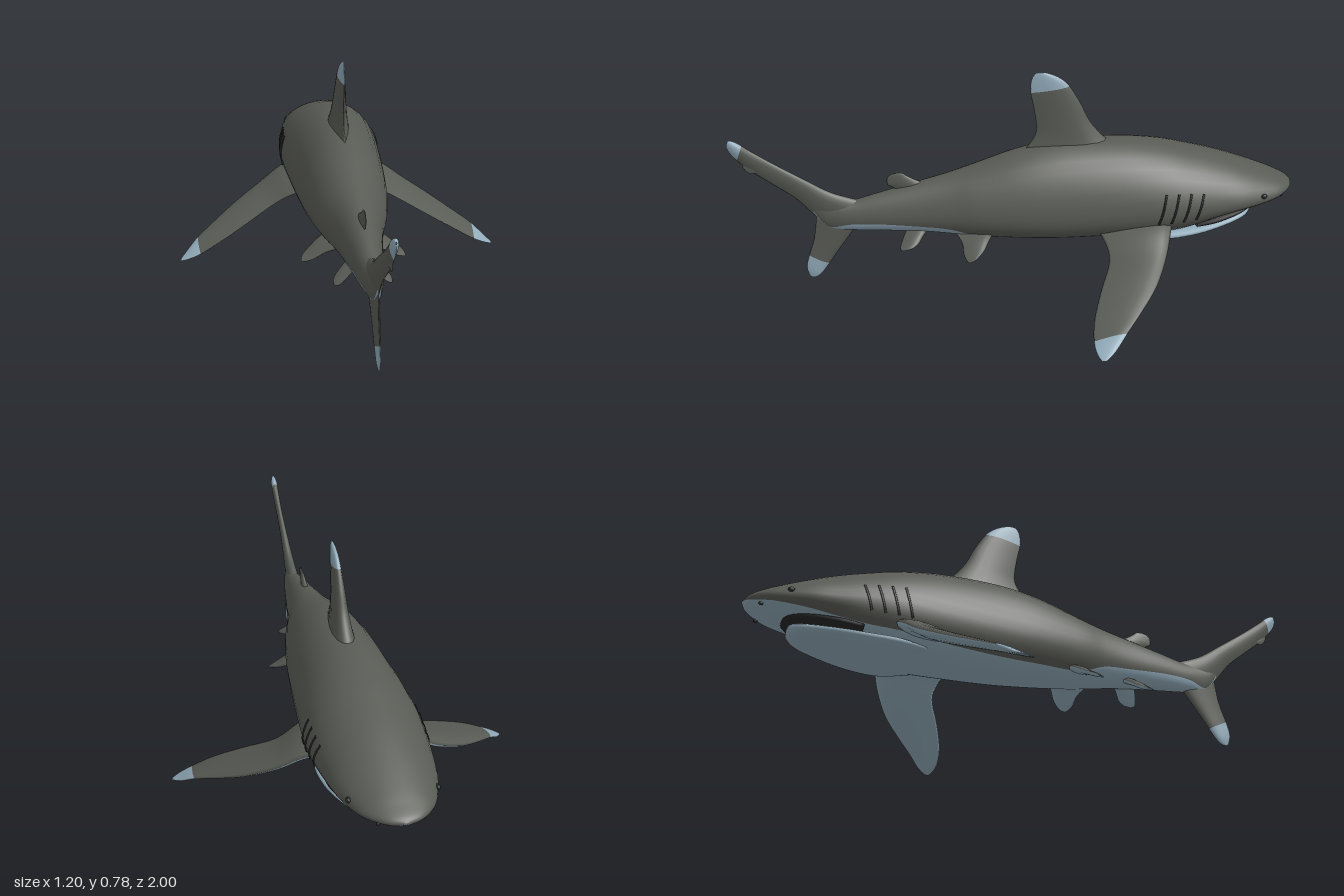
import * as THREE from 'three';

const material = (name, color) => {
  const m = new THREE.MeshStandardMaterial({ color, side: THREE.DoubleSide });
  m.name = name;
  return m;
};

// Catmull-Rom through rows of numbers, column by column
function smoothRows(rows, sub) {
  const out = [];
  const at = i => rows[Math.max(0, Math.min(rows.length - 1, i))];
  for (let i = 0; i < rows.length - 1; i++) {
    for (let k = 0; k < sub; k++) {
      const t = k / sub, a = at(i - 1), b = at(i), c = at(i + 1), d = at(i + 2);
      out.push(b.map((_, n) => 0.5 * (2 * b[n] + (c[n] - a[n]) * t
        + (2 * a[n] - 5 * b[n] + 4 * c[n] - d[n]) * t * t
        + (3 * b[n] - a[n] - 3 * c[n] + d[n]) * t * t * t)));
    }
  }
  out.push(rows[rows.length - 1]);
  return out;
}

// Skin closed rings of points; pick(i, j) gives the material index of each cell
function loft(name, rings, materials, pick = () => 0) {
  const m = rings[0].length, pts = rings.flat();
  const buckets = materials.map(() => []);
  const centre = new THREE.Vector3();
  rings[0].forEach(p => centre.addScaledVector(p, 1 / m));
  let volume = 0;
  const rel = k => pts[k].clone().sub(centre);
  for (let i = 0; i < rings.length - 1; i++) {
    for (let j = 0; j < m; j++) {
      const a = i * m + j, b = i * m + (j + 1) % m, c = a + m, d = b + m;
      buckets[pick(i, j)].push([a, b, c], [b, d, c]);
      volume += rel(a).dot(rel(b).cross(rel(c))) + rel(b).dot(rel(d).cross(rel(c)));
    }
  }
  const geo = new THREE.BufferGeometry().setFromPoints(pts);
  const index = [];
  buckets.forEach((tris, k) => {
    geo.addGroup(index.length, tris.length * 3, k);
    tris.forEach(([a, b, c]) => (volume < 0 ? index.push(a, c, b) : index.push(a, b, c)));
  });
  geo.setIndex(index);
  geo.computeVertexNormals();
  const mesh = new THREE.Mesh(geo, materials);
  mesh.name = name;
  return mesh;
}

// Fin rows: leading x,y,z, trailing x,y,z, half thickness.
// The tip starts at row tipRow; the far side of the fin can be pale.
function fin(name, rows, mats, { normal = [1, 0, 0], tipRow = 99, paleUnder = false, mirror = 1 } = {}) {
  const N = 9, SUB = 5, dir = new THREE.Vector3(...normal).normalize();
  const rings = smoothRows(rows, SUB).map(([ax, ay, az, bx, by, bz, th]) => {
    const lead = new THREE.Vector3(ax, ay, az), trail = new THREE.Vector3(bx, by, bz);
    return Array.from({ length: 2 * N }, (_, j) => {
      const u = (j <= N ? j : 2 * N - j) / N, f = u * u * (3 - 2 * u);
      const h = 2.6 * th * Math.sqrt(f) * (1 - f) * (j <= N ? 1 : -1);
      const p = lead.clone().lerp(trail, f).addScaledVector(dir, h);
      p.x *= mirror;
      return p;
    });
  });
  return loft(name, rings, mats, (i, j) => (i >= tipRow * SUB || (paleUnder && j >= N) ? 1 : 0));
}

// Upright fin on the centre line, rows of leading z,y, trailing z,y, half thickness
const uprightFin = (name, rows, mats, tipRow) =>
  fin(name, rows.map(([az, ay, bz, by, th]) => [0, ay, az, 0, by, bz, th]), mats, { tipRow });

// Body rows: z, top, bottom, half width, widest height, colour line height
const BODY = [
  [-1, .332, .328, .002, .33, .33], [-.985, .345, .315, .05, .33, .322],
  [-.95, .362, .3, .092, .328, .312], [-.9, .385, .285, .124, .322, .302],
  [-.8, .425, .265, .159, .318, .285], [-.7, .46, .238, .176, .315, .265],
  [-.6, .488, .2, .187, .315, .245], [-.5, .512, .182, .192, .31, .235],
  [-.35, .53, .175, .183, .305, .22], [-.15, .528, .172, .166, .3, .21],
  [0, .503, .178, .15, .3, .21], [.15, .455, .188, .123, .3, .215],
  [.25, .425, .2, .096, .295, .245], [.35, .4, .212, .075, .29, .255],
  [.5, .362, .222, .052, .285, .265], [.6, .338, .228, .036, .28, .262],
  [.68, .34, .24, .018, .29, .25], [.74, .36, .32, .003, .34, .33],
];
const UP = 1.15, DOWN = .9;

function bodyPoint([z, top, bottom, w, mid], t) {
  const s = Math.sin(t);
  const y = s >= 0 ? mid + (top - mid) * s ** UP : mid - (mid - bottom) * (-s) ** DOWN;
  return new THREE.Vector3(w * Math.cos(t), y, z);
}

export function createModel() {
  const model = new THREE.Group();
  model.name = 'shark';
  const grey = material('dark grey skin', 0x595b55);
  const pale = material('pale blue grey skin', 0x91aab9);
  const black = material('dark openings', 0x242624);
  const skin = [grey, pale];

  // Body, with grey back and pale belly meeting on a smooth line
  const rows = smoothRows(BODY, 6), A = 24, B = 16;
  const rings = rows.map(r => {
    const drop = THREE.MathUtils.clamp((r[4] - r[5]) / (r[4] - r[2]), 0, .97);
    const t0 = -Math.asin(drop ** (1 / DOWN)), t1 = Math.PI - t0;
    return Array.from({ length: A + B }, (_, j) => bodyPoint(r, j <= A
      ? t0 + (t1 - t0) * j / A
      : t1 + (t0 + 2 * Math.PI - t1) * (j - A) / B));
  });
  model.add(loft('body', rings, skin, (i, j) => (j < A ? 0 : 1)));

  // Lower jaw and the dark mouth behind it: z, top, bottom, half width
  const oval = (name, list, mat) => model.add(loft(name, smoothRows(list, 4).map(([z, top, bottom, w]) =>
    Array.from({ length: 24 }, (_, j) => {
      const t = j / 24 * 2 * Math.PI;
      return new THREE.Vector3(w * Math.cos(t), (top + bottom) / 2 + (top - bottom) / 2 * Math.sin(t), z);
    })), [mat]));
  oval('lowerJaw', [[-.85, .25, .246, .004], [-.842, .262, .232, .05], [-.8, .258, .214, .095],
    [-.7, .245, .197, .137], [-.6, .235, .183, .158], [-.5, .23, .178, .16], [-.4, .22, .19, .12]], pale);
  oval('mouth', [[-.87, .286, .284, .004], [-.86, .29, .272, .05], [-.8, .285, .25, .112],
    [-.7, .275, .228, .15], [-.62, .26, .22, .155]], black);

  // Tall rounded dorsal fin and the small second one
  model.add(uprightFin('dorsalFin', [
    [-.36, .49, .0, .48, .045], [-.3, .54, -.03, .515, .034], [-.25, .6, -.06, .57, .026],
    [-.215, .67, -.053, .65, .019], [-.175, .735, -.04, .715, .014], [-.14, .767, -.042, .76, .01],
    [-.1, .785, -.055, .785, .005], [-.075, .789, -.07, .789, .001]], skin, 4));
  model.add(uprightFin('secondDorsalFin', [
    [.31, .385, .42, .365, .014], [.36, .405, .45, .385, .01], [.395, .425, .465, .395, .007],
    [.41, .436, .465, .42, .004], [.43, .438, .45, .434, .001]], skin));

  // Tail lobes
  model.add(uprightFin('upperTailLobe', [
    [.55, .335, .65, .225, .022], [.66, .375, .72, .285, .019], [.75, .432, .785, .36, .014],
    [.85, .498, .872, .43, .011], [.92, .548, .94, .485, .012], [.965, .582, .985, .535, .012],
    [.99, .592, 1, .565, .006], [.997, .585, 1, .575, .001]], skin, 4.6));
  model.add(uprightFin('tailNotchFlap', [
    [.88, .49, .95, .52, .005], [.905, .468, .955, .495, .004], [.93, .463, .945, .475, .001]], skin));
  model.add(uprightFin('lowerTailLobe', [
    [.57, .26, .72, .33, .02], [.595, .22, .722, .27, .016], [.65, .145, .735, .195, .012],
    [.685, .095, .757, .13, .01], [.715, .055, .768, .085, .008], [.735, .04, .763, .055, .004],
    [.75, .038, .757, .042, .001]], skin, 3));

  for (const side of [1, -1]) {
    const label = side > 0 ? 'left' : 'right';
    // Long drooping pectoral fins, grey above, pale below and at the tip
    model.add(fin(label + 'PectoralFin', [
      [.1, .27, -.55, .1, .25, -.25, .03], [.19, .25, -.515, .18, .215, -.28, .024],
      [.28, .195, -.48, .25, .175, -.285, .02], [.38, .14, -.425, .35, .125, -.24, .016],
      [.465, .095, -.355, .45, .075, -.2, .012], [.53, .06, -.295, .525, .036, -.185, .009],
      [.575, .025, -.25, .57, .017, -.188, .005], [.6, .008, -.215, .598, .006, -.2, .001]],
    skin, { normal: [.47, .88, 0], tipRow: 5, paleUnder: true, mirror: side }));
    // Pelvic fins
    model.add(fin(label + 'PelvicFin', [
      [.05, .235, .08, .05, .225, .24, .014], [.11, .215, .115, .1, .2, .215, .012],
      [.15, .19, .14, .145, .175, .212, .008], [.175, .175, .165, .178, .163, .2, .004],
      [.182, .166, .182, .183, .165, .19, .001]],
    skin, { normal: [.5, .86, 0], paleUnder: true, mirror: side }));
    // Small paired rear fins under the tail
    model.add(fin(label + 'RearFin', [
      [.015, .24, .31, .015, .235, .4, .012], [.055, .215, .345, .05, .205, .42, .011],
      [.08, .195, .365, .08, .183, .432, .009], [.094, .186, .385, .095, .178, .425, .004],
      [.098, .182, .4, .098, .18, .41, .001]],
    skin, { normal: [.5, .86, 0], paleUnder: true, mirror: side }));

    // Gill slits lying along the flank
    for (let g = 0; g < 4; g++) {
      const path = Array.from({ length: 6 }, (_, k) => {
        const z = -.47 - g * .045 + k * -.005;
        const row = rows.reduce((a, b) => (Math.abs(b[0] - z) < Math.abs(a[0] - z) ? b : a));
        const p = bodyPoint(row, -.25 + k * .135);
        return new THREE.Vector3(p.x * side, p.y, z);
      });
      const slit = new THREE.Mesh(new THREE.TubeGeometry(new THREE.CatmullRomCurve3(path), 14, .004, 6), black);
      slit.name = label + 'GillSlit' + (g + 1);
      model.add(slit);
    }

    // Eyes and nostrils
    const spots = [['Eye', .138, .335, -.86, .011], ['Nostril', .07, .303, -.945, .008]];
    for (const [part, x, y, z, r] of spots) {
      const spot = new THREE.Mesh(new THREE.SphereGeometry(r, 14, 10), black);
      spot.position.set(x * side, y, z);
      spot.scale.set(.7, .8, 1);
      spot.name = label + part;
      model.add(spot);
    }
  }
  return model;
}
